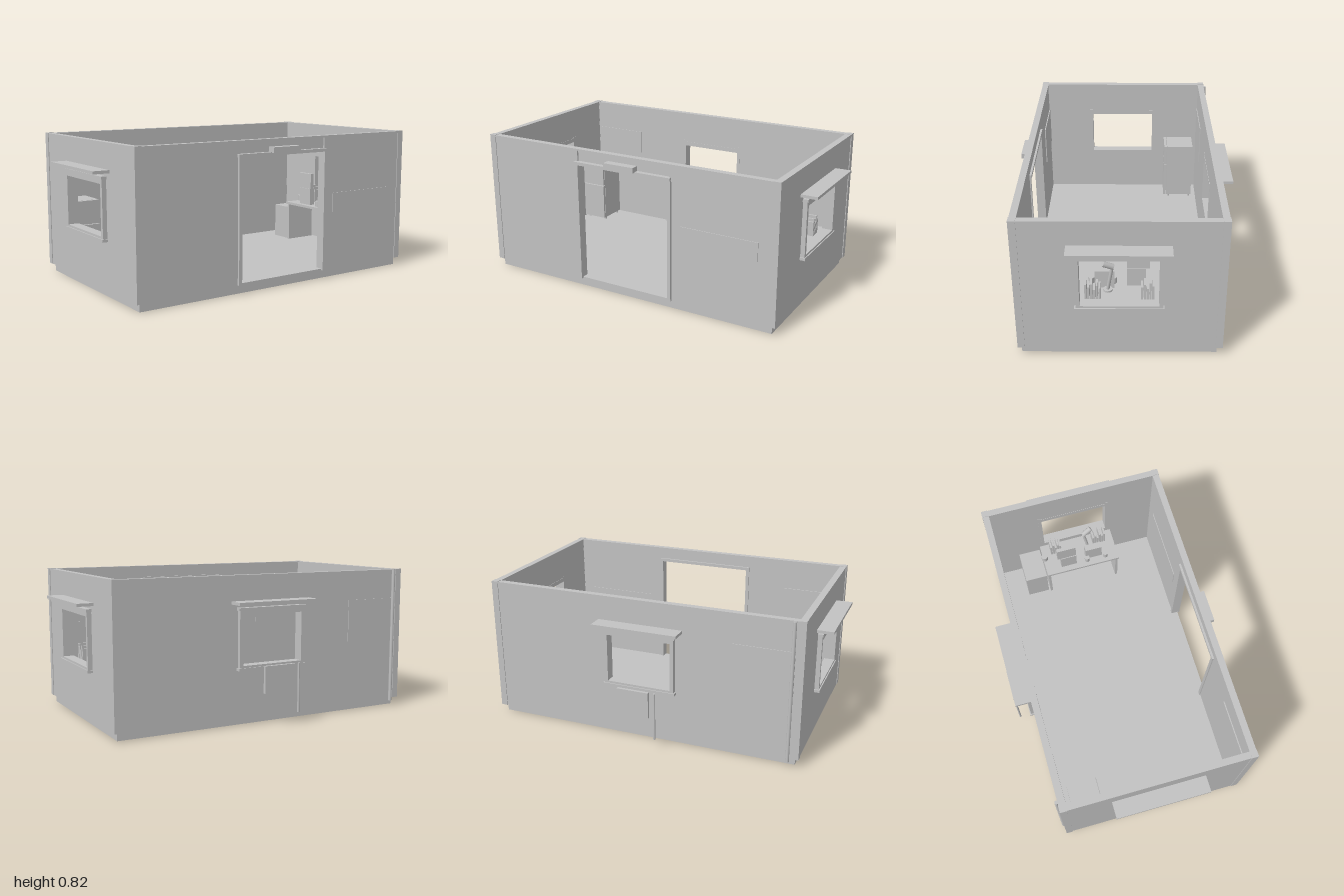
import * as THREE from 'three';

const grey = new THREE.MeshStandardMaterial({ color: 0xc2c2c2 });
grey.name = 'plain grey';

function add(parent, name, geometry) {
  const mesh = new THREE.Mesh(geometry, grey);
  mesh.name = name;
  parent.add(mesh);
  return mesh;
}

// Box given by its limits on each axis
function box(parent, name, x0, x1, y0, y1, z0, z1) {
  const mesh = add(parent, name, new THREE.BoxGeometry(x1 - x0, y1 - y0, z1 - z0));
  mesh.position.set((x0 + x1) / 2, (y0 + y1) / 2, (z0 + z1) / 2);
  return mesh;
}

// Round bar between two points
function bar(parent, name, a, b, r) {
  const p = new THREE.Vector3(...a), q = new THREE.Vector3(...b);
  const mesh = add(parent, name, new THREE.CylinderGeometry(r, r, p.distanceTo(q), 12));
  mesh.position.copy(p).add(q).multiplyScalar(0.5);
  mesh.quaternion.setFromUnitVectors(new THREE.Vector3(0, 1, 0), q.sub(p).normalize());
  return mesh;
}

function rect(Type, x0, x1, y0, y1) {
  return new Type([[x0, y0], [x1, y0], [x1, y1], [x0, y1]].map(p => new THREE.Vector2(...p)));
}

// Wall with an optional window opening; local +z is outdoors, z = 0 the outer face
function wall(parent, name, w0, w1, hole) {
  const group = new THREE.Group();
  group.name = name;
  const shape = rect(THREE.Shape, w0, w1, 0.05, 0.815);
  if (hole) shape.holes.push(rect(THREE.Path, hole[0], hole[1], 0.33, 0.605));
  const panel = new THREE.ExtrudeGeometry(shape, { depth: 0.033, bevelEnabled: false });
  panel.translate(0, 0, -0.033);
  add(group, name + 'Panel', panel);
  if (hole) {
    const [a, b] = hole;
    // Frame around the opening, cap, sill and flat awning
    box(group, 'windowJamb', a - 0.02, a, 0.31, 0.64, -0.035, 0.025);
    box(group, 'windowJamb', b, b + 0.02, 0.31, 0.64, -0.035, 0.025);
    box(group, 'windowHead', a, b, 0.605, 0.63, -0.035, 0.025);
    box(group, 'windowCap', a - 0.027, b + 0.027, 0.63, 0.645, -0.002, 0.031);
    box(group, 'windowSill', a - 0.027, b + 0.027, 0.305, 0.32, -0.002, 0.031);
    box(group, 'windowSillBlock', a, b, 0.32, 0.332, -0.035, 0.025);
    box(group, 'awning', a - 0.06, b + 0.06, 0.664, 0.68, -0.005, 0.092);
  }
  parent.add(group);
  return group;
}

export function createModel() {
  const model = new THREE.Group();
  model.name = 'smallCabin';
  const X = 0.905, Z0 = -0.5, Z1 = 0.57;

  // Base and floor
  box(model, 'base', -0.885, 0.885, 0, 0.05, -0.475, 0.555);
  box(model, 'floor', -X, X, 0.045, 0.058, Z0, Z1);

  // Side and back walls with windows
  const right = wall(model, 'sideWall', -Z1, -Z0, [-0.24, 0.165]);
  right.rotation.y = Math.PI / 2;
  right.position.x = X;
  const left = wall(model, 'sideWall', Z0, Z1, [-0.165, 0.24]);
  left.rotation.y = -Math.PI / 2;
  left.position.x = -X;
  const back = wall(model, 'backWall', -X, X, [-0.18, 0.19]);
  back.rotation.y = Math.PI;
  back.position.z = Z0;

  // Front wall either side of the doorway, and the piece above it
  box(model, 'frontWall', -X, -0.29, 0.05, 0.815, Z1 - 0.033, Z1);
  box(model, 'frontWall', 0.29, X, 0.05, 0.815, Z1 - 0.033, Z1);
  box(model, 'doorTransom', -0.29, 0.29, 0.74, 0.815, Z1 - 0.033, Z1 - 0.01);

  // Door frame and lamp over it
  for (const s of [-1, 1]) {
    const x = s * 0.293;
    box(model, 'doorJamb', x - 0.01, x + 0.01, 0.05, 0.735, Z1 - 0.04, Z1 + 0.013);
  }
  box(model, 'doorHead', -0.307, 0.302, 0.73, 0.748, Z1 - 0.045, Z1 + 0.018);
  box(model, 'doorLamp', -0.095, 0.09, 0.745, 0.775, Z1 - 0.02, 0.605);

  // Corner posts and rails
  for (const x of [-X, X]) {
    for (const z of [Z0, Z1]) {
      const px = x - Math.sign(x) * 0.015, pz = z - Math.sign(z) * 0.015;
      box(model, 'cornerPost', px - 0.019, px + 0.019, 0.045, 0.82, pz - 0.019, pz + 0.019);
    }
    const cx = x - Math.sign(x) * 0.0165;
    box(model, 'topRail', cx - 0.0185, cx + 0.0185, 0.808, 0.818, Z0, Z1);
  }
  for (const z of [Z0, Z1]) {
    const cz = z - Math.sign(z) * 0.0165;
    box(model, 'topRail', -X, X, 0.808, 0.818, cz - 0.0185, cz + 0.0185);
  }

  // Drain pipe at the back corner
  bar(model, 'drainPipe', [-0.85, 0.03, -0.508], [-0.85, 0.815, -0.508], 0.01);

  // Wall boards
  box(model, 'frontBoard', 0.36, 0.8, 0.38, 0.49, Z1 - 0.037, Z1 + 0.004);
  box(model, 'backBoard', -0.86, -0.53, 0.41, 0.65, Z0 - 0.004, Z0 + 0.037);
  box(model, 'innerBoard', -0.86, -0.53, 0.41, 0.64, Z1 - 0.039, Z1 - 0.032);

  // Sign and post behind the back window
  box(model, 'backSign', -0.095, 0.09, 0.185, 0.335, -0.605, -0.588);
  bar(model, 'signPost', [-0.128, 0.06, -0.597], [-0.128, 0.335, -0.597], 0.006);

  // Small refrigerator in the corner
  const fridge = new THREE.Group();
  fridge.name = 'refrigerator';
  box(fridge, 'fridgeBody', -0.855, -0.7, 0.075, 0.44, -0.435, -0.265);
  box(fridge, 'fridgeDoor', -0.855, -0.7, 0.075, 0.3, -0.262, -0.245);
  box(fridge, 'freezerDoor', -0.855, -0.7, 0.305, 0.44, -0.262, -0.245);
  for (const x of [-0.84, -0.715]) {
    for (const z of [-0.42, -0.28]) bar(fridge, 'fridgeFoot', [x, 0.055, z], [x, 0.078, z], 0.008);
  }
  model.add(fridge);

  // Desk with a drawer unit
  const desk = new THREE.Group();
  desk.name = 'desk';
  box(desk, 'deskTop', 0.65, 0.865, 0.295, 0.31, -0.2, 0.27);
  box(desk, 'deskEnd', 0.66, 0.86, 0.058, 0.295, 0.25, 0.265);
  box(desk, 'deskEnd', 0.66, 0.86, 0.058, 0.295, -0.195, -0.18);
  box(desk, 'drawerUnit', 0.67, 0.865, 0.058, 0.27, -0.34, -0.205);

  // Monitor on a block
  box(desk, 'monitorBlock', 0.685, 0.72, 0.31, 0.415, -0.1, 0);
  box(desk, 'monitor', 0.69, 0.712, 0.415, 0.512, -0.12, 0);
  box(desk, 'storageBox', 0.7, 0.74, 0.31, 0.415, 0.065, 0.17);

  // Two rows of books
  const heights = [0.385, 0.4, 0.375, 0.41, 0.39, 0.405];
  heights.forEach((h, i) => {
    const z = 0.135 + i * 0.0145;
    box(desk, 'book', 0.79, 0.85, 0.31, h, z, z + 0.011);
    if (i < 5) box(desk, 'book', 0.79, 0.85, 0.31, h + 0.008, -z + 0.051, -z + 0.062);
  });

  // Desk lamp
  bar(desk, 'lampBase', [0.76, 0.31, 0.1], [0.76, 0.32, 0.1], 0.025);
  bar(desk, 'lampArm', [0.76, 0.32, 0.1], [0.78, 0.475, 0.075], 0.009);
  bar(desk, 'lampHead', [0.785, 0.475, 0.072], [0.8, 0.502, 0.125], 0.016);

  // Cups
  for (const [x, z, r] of [[0.77, -0.19, 0.02], [0.76, -0.1, 0.012], [0.69, 0.07, 0.016], [0.69, 0.19, 0.016]]) {
    bar(desk, 'cup', [x, 0.31, z], [x, 0.345, z], r);
  }
  model.add(desk);
  return model;
}
